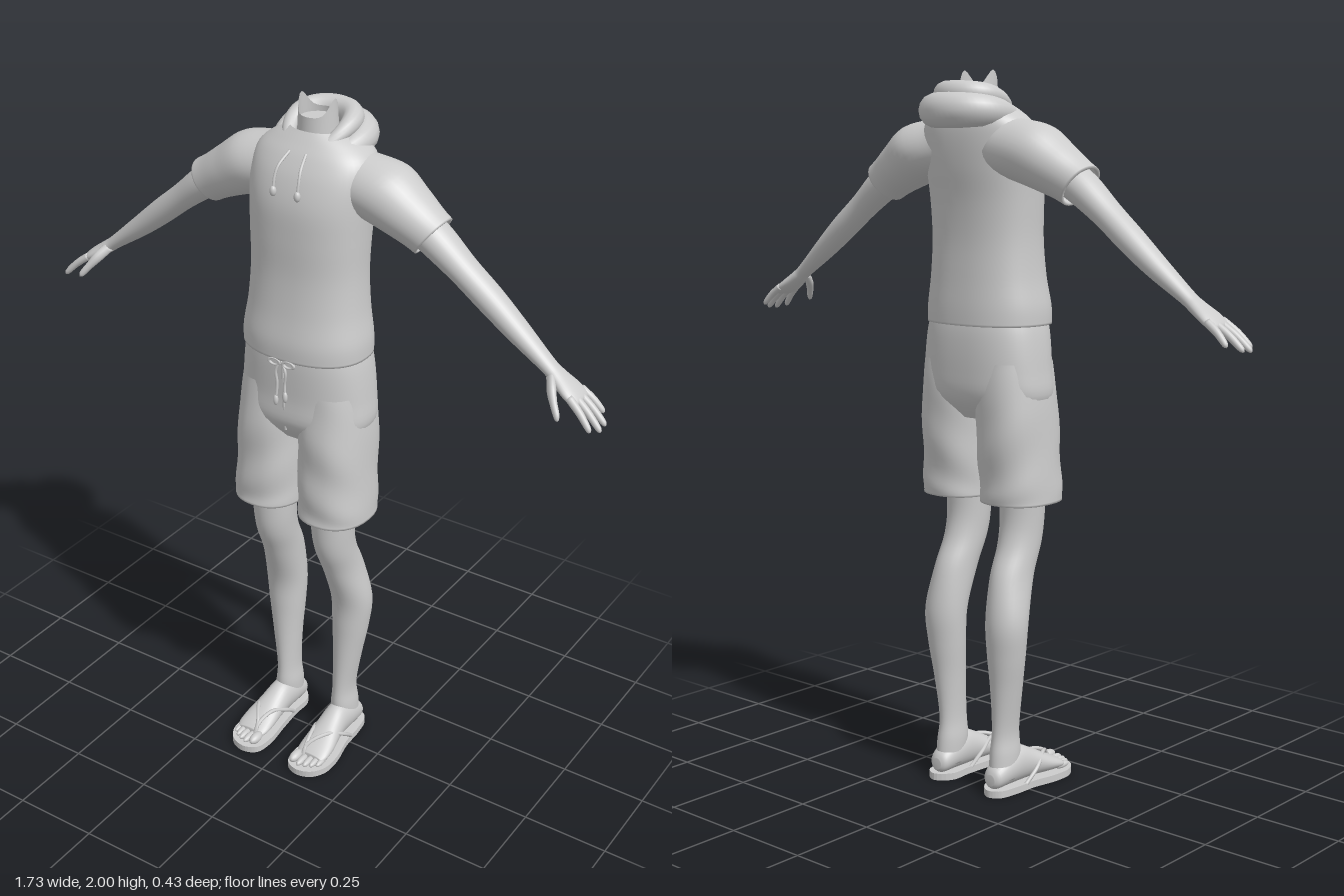
import * as THREE from 'three';

const V = (x, y, z) => new THREE.Vector3(x, y, z);
const X = V(1, 0, 0), Y = V(0, 1, 0), Z = V(0, 0, 1);
const ARM = V(0.6, 0.8, 0); // thickness direction of the sloping arms
const mat = new THREE.MeshStandardMaterial({ color: 0xcccccc, side: THREE.DoubleSide });

// Skin over a list of equal-length point rings
function skin(rings, { flip = false, loop = false, caps = false } = {}) {
  const n = rings[0].length, m = rings.length;
  const pts = rings.flat(), idx = [];
  const tri = (a, b, c) => (flip ? idx.push(a, c, b) : idx.push(a, b, c));
  for (let i = 0; i < (loop ? m : m - 1); i++) {
    for (let j = 0; j < n; j++) {
      const k = (j + 1) % n, r = i * n, s = ((i + 1) % m) * n;
      tri(r + j, r + k, s + j);
      tri(r + k, s + k, s + j);
    }
  }
  if (caps) {
    for (const [ring, start] of [[rings[0], true], [rings[m - 1], false]]) {
      const base = start ? 0 : (m - 1) * n, c = pts.length;
      pts.push(ring.reduce((a, p) => a.add(p), V(0, 0, 0)).divideScalar(n));
      for (let j = 0; j < n; j++) {
        const k = (j + 1) % n;
        start ? tri(c, base + k, base + j) : tri(c, base + j, base + k);
      }
    }
  }
  const g = new THREE.BufferGeometry().setFromPoints(pts);
  g.setIndex(idx);
  g.computeVertexNormals();
  return g;
}

// Smooth loft through sections [x, y, z, ru, rv] spanned by the axes u and v
function loft(sections, { u = X, v = Z, n = 32, steps = 5, power = 2, caps = false, fold = 0, shape } = {}) {
  const at = (i) => sections[Math.max(0, Math.min(sections.length - 1, i))];
  const rows = [];
  for (let i = 0; i < sections.length - 1; i++) {
    for (let s = 0; s < steps; s++) {
      const t = s / steps;
      rows.push(at(i).map((_, k) => {
        const [a, b, c, d] = [at(i - 1)[k], at(i)[k], at(i + 1)[k], at(i + 2)[k]];
        return b + 0.5 * t * (c - a + t * (2 * a - 5 * b + 4 * c - d + t * (3 * (b - c) + d - a)));
      }));
    }
  }
  rows.push(at(sections.length));
  if (fold) { // turned-in hem
    const e = at(sections.length), q = at(sections.length - 2);
    const back = (k, f) => e[k] + (q[k] - e[k]) * f;
    rows.push([e[0], e[1], e[2], e[3] - fold, e[4] - fold]);
    rows.push([back(0, 0.3), back(1, 0.3), back(2, 0.3), e[3] - fold, e[4] - fold]);
  }
  const bend = (w) => Math.sign(w) * Math.abs(w) ** (2 / power);
  const rings = rows.map(([x, y, z, ru, rv], r) => Array.from({ length: n }, (_, j) => {
    const a = (j / n) * Math.PI * 2;
    const p = V(x, y, z).addScaledVector(u, bend(Math.cos(a)) * ru).addScaledVector(v, bend(Math.sin(a)) * rv);
    if (shape) shape(p, a, r / (rows.length - 1));
    return p;
  }));
  const [f, l] = [sections[0], at(sections.length)];
  const dir = V(l[0] - f[0], l[1] - f[1], l[2] - f[2]);
  return skin(rings, { caps, flip: dir.dot(u.clone().cross(v)) < 0 });
}

const tube = (pts, r) =>
  new THREE.TubeGeometry(new THREE.CatmullRomCurve3(pts.map((p) => V(...p))), 28, r, 8);

function ball(x, y, z, rx, ry, rz) {
  return new THREE.SphereGeometry(1, 16, 12).scale(rx, ry, rz).translate(x, y, z);
}

// Fabric roll around the neck, dipping to a V in front and thicker behind
function hoodRoll(a, frontZ, backZ, y, dip, rFront, rBack) {
  const rings = [];
  for (let i = 0; i < 56; i++) {
    const t = (i / 56) * Math.PI * 2, c = Math.cos(t), front = (1 + c) / 2;
    const r = rBack + (rFront - rBack) * front;
    const out = V(Math.sin(t), 0, c);
    const centre = V(a * Math.sin(t) * (1 - 0.15 * front), y - dip * front ** 2.5, (frontZ + backZ) / 2 + ((frontZ - backZ) / 2) * c);
    rings.push(Array.from({ length: 14 }, (_, j) => {
      const b = (j / 14) * Math.PI * 2;
      return centre.clone().addScaledVector(out, r * Math.cos(b)).addScaledVector(Y, r * 1.05 * Math.sin(b));
    }));
  }
  return skin(rings, { loop: true, flip: true });
}

export function createModel() {
  const root = new THREE.Group();
  const add = (name, geo) => {
    const mesh = new THREE.Mesh(geo, mat);
    mesh.name = name;
    root.add(mesh);
    return mesh;
  };
  const pair = (name, geo) => {
    add('left ' + name, geo);
    add('right ' + name, geo).scale.x = -1;
  };

  // Hooded shirt
  add('shirt', loft([
    [0, 1.92, -0.05, 0.075, 0.065], [0, 1.895, -0.05, 0.125, 0.085], [0, 1.86, -0.042, 0.165, 0.103],
    [0, 1.81, -0.03, 0.176, 0.117], [0, 1.74, -0.018, 0.173, 0.124], [0, 1.65, -0.01, 0.168, 0.12],
    [0, 1.55, -0.007, 0.165, 0.118], [0, 1.45, -0.004, 0.171, 0.125], [0, 1.37, 0, 0.183, 0.134],
    [0, 1.32, 0, 0.184, 0.135]], { n: 48, power: 2.3, fold: 0.008 }));
  pair('sleeve', loft([
    [0.1, 1.8, -0.05, 0.09, 0.085], [0.19, 1.782, -0.052, 0.09, 0.096], [0.265, 1.745, -0.048, 0.076, 0.083],
    [0.32, 1.715, -0.044, 0.066, 0.07], [0.35, 1.698, -0.042, 0.064, 0.064]], { u: ARM, fold: 0.008 }));
  add('outer hood roll', hoodRoll(0.112, 0.045, -0.168, 1.893, 0.05, 0.02, 0.046));
  add('inner hood roll', hoodRoll(0.086, 0.035, -0.14, 1.937, 0.07, 0.014, 0.033));
  pair('hood cord', tube([[0.025, 1.875, 0.05], [0.034, 1.845, 0.088], [0.037, 1.82, 0.1], [0.037, 1.785, 0.108]], 0.004));
  pair('hood cord tip', ball(0.037, 1.783, 0.108, 0.009, 0.014, 0.009));

  // Neck, its open rim rising to a point on each side
  add('neck', loft([
    [0, 1.8, -0.05, 0.07, 0.065], [0, 1.88, -0.045, 0.057, 0.056], [0, 1.955, -0.043, 0.051, 0.05]],
  { shape: (p, a, t) => { p.y += 0.045 * t ** 3 * Math.abs(Math.cos(a)) ** 6; } }));
  add('neck floor', new THREE.CircleGeometry(0.05, 32).rotateX(-Math.PI / 2).translate(0, 1.94, -0.043));

  // Shorts
  add('shorts seat', loft([
    [0, 1.37, 0, 0.165, 0.115], [0, 1.3, -0.004, 0.183, 0.125], [0, 1.2, -0.006, 0.194, 0.126],
    [0, 1.12, -0.002, 0.196, 0.122], [0, 1.06, 0, 0.15, 0.08]], { n: 48, power: 2.4 }));
  pair('shorts leg', loft([
    [0.095, 1.22, -0.004, 0.09, 0.112], [0.099, 1.1, 0, 0.099, 0.122], [0.102, 0.98, 0.006, 0.101, 0.12],
    [0.106, 0.88, 0.011, 0.103, 0.117], [0.107, 0.83, 0.013, 0.103, 0.117]],
  { power: 2.3, fold: 0.008, shape: (p, a, t) => { p.z += 0.003 * Math.sin(18 * t + 2 * a) * t * (1 - t) * 4; } }));
  for (const [side, x, end] of [['left', 0.016, 1.215], ['right', -0.014, 1.2]]) {
    add(side + ' waist cord', tube([[0, 1.318, 0.13], [x, 1.29, 0.136], [x * 0.8, 1.25, 0.135], [x, end, 0.138]], 0.004));
    add(side + ' waist cord tip', ball(x, end, 0.138, 0.007, 0.016, 0.007));
    add(side + ' bow loop', new THREE.TorusGeometry(0.013, 0.004, 8, 20).scale(1.3, 0.7, 1).translate(x * 1.5, 1.312, 0.133));
  }
  add('fly seam', tube([[0, 1.3, 0.123], [0, 1.2, 0.121], [0, 1.1, 0.112]], 0.004));

  // Arms and hands
  pair('arm', loft([
    [0.28, 1.74, -0.043, 0.05, 0.054], [0.36, 1.69, -0.042, 0.046, 0.053], [0.44, 1.628, -0.043, 0.038, 0.045],
    [0.52, 1.564, -0.046, 0.036, 0.042], [0.6, 1.5, -0.046, 0.03, 0.036], [0.69, 1.432, -0.043, 0.02, 0.027],
    [0.72, 1.41, -0.042, 0.019, 0.031], [0.76, 1.383, -0.04, 0.018, 0.043], [0.786, 1.365, -0.041, 0.013, 0.043],
    [0.793, 1.36, -0.041, 0.006, 0.036]], { u: ARM, caps: true }));
  [[-0.008, 0.014, 0.845, 1.312], [-0.03, -0.012, 0.862, 1.306], [-0.052, -0.044, 0.86, 1.309], [-0.073, -0.082, 0.836, 1.322]]
    .forEach(([z0, z1, x1, y1], i) => {
      const mid = (k) => [0.77 + (x1 - 0.77) * k, 1.378 + (y1 - 1.378) * k + 0.005 * Math.sin(k * Math.PI), z0 + (z1 - z0) * k];
      pair('finger ' + (i + 1), loft([
        [...mid(0), 0.011, 0.012], [...mid(0.5), 0.01, 0.0105], [...mid(0.9), 0.008, 0.0085], [...mid(1), 0.003, 0.003]],
      { u: ARM, n: 12, caps: true }));
    });
  pair('thumb', loft([
    [0.705, 1.418, -0.03, 0.014, 0.014], [0.725, 1.393, 0, 0.015, 0.016], [0.745, 1.365, 0.022, 0.011, 0.012],
    [0.762, 1.342, 0.036, 0.009, 0.009], [0.768, 1.333, 0.04, 0.003, 0.003]], { u: ARM, n: 12, caps: true }));

  // Legs and feet
  pair('leg', loft([
    [0.1, 0.96, 0.02, 0.07, 0.075], [0.099, 0.8, 0.026, 0.062, 0.066], [0.1, 0.71, 0.014, 0.057, 0.067],
    [0.104, 0.62, -0.024, 0.055, 0.069], [0.114, 0.5, -0.056, 0.061, 0.06], [0.112, 0.4, -0.056, 0.054, 0.055],
    [0.107, 0.3, -0.05, 0.042, 0.05], [0.1, 0.18, -0.045, 0.031, 0.047], [0.1, 0.11, -0.047, 0.036, 0.053],
    [0.102, 0.04, -0.055, 0.034, 0.05]], { caps: true }));
  pair('foot', loft([
    [0.102, 0.045, -0.114, 0.015, 0.016], [0.102, 0.05, -0.1, 0.031, 0.032], [0.102, 0.066, -0.05, 0.039, 0.048],
    [0.102, 0.07, 0, 0.039, 0.053], [0.104, 0.06, 0.05, 0.043, 0.042], [0.107, 0.047, 0.1, 0.05, 0.029],
    [0.108, 0.038, 0.14, 0.05, 0.019], [0.108, 0.033, 0.16, 0.042, 0.012]], { u: X, v: Y, caps: true }));
  [[0.073, 0.178, 0.015], [0.096, 0.18, 0.0105], [0.115, 0.174, 0.01], [0.132, 0.165, 0.0095], [0.147, 0.152, 0.009]]
    .forEach(([x, z, r], i) => pair('toe ' + (i + 1), ball(x, 0.021 + r, z, r, r, 0.028)));

  // Flip-flops
  const outline = [[0.102, -0.125], [0.135, -0.108], [0.148, -0.05], [0.152, 0.02], [0.168, 0.1], [0.166, 0.16],
    [0.14, 0.2], [0.095, 0.214], [0.056, 0.195], [0.045, 0.14], [0.053, 0.06], [0.06, -0.02], [0.062, -0.09]];
  const curve = new THREE.CatmullRomCurve3(outline.map(([x, z]) => V(x, -z, 0)), true);
  const sole = new THREE.Shape(curve.getPoints(60).slice(0, -1).map((p) => new THREE.Vector2(p.x, p.y)));
  pair('sandal sole', new THREE.ExtrudeGeometry(sole, { depth: 0.02, bevelEnabled: false }).rotateX(-Math.PI / 2));
  pair('outer strap', tube([[0.088, 0.02, 0.168], [0.089, 0.06, 0.145], [0.124, 0.08, 0.09], [0.15, 0.055, 0.035], [0.148, 0.018, -0.01]], 0.006));
  pair('inner strap', tube([[0.088, 0.02, 0.168], [0.087, 0.06, 0.145], [0.075, 0.077, 0.09], [0.058, 0.055, 0.035], [0.062, 0.018, -0.01]], 0.006));

  return root;
}
